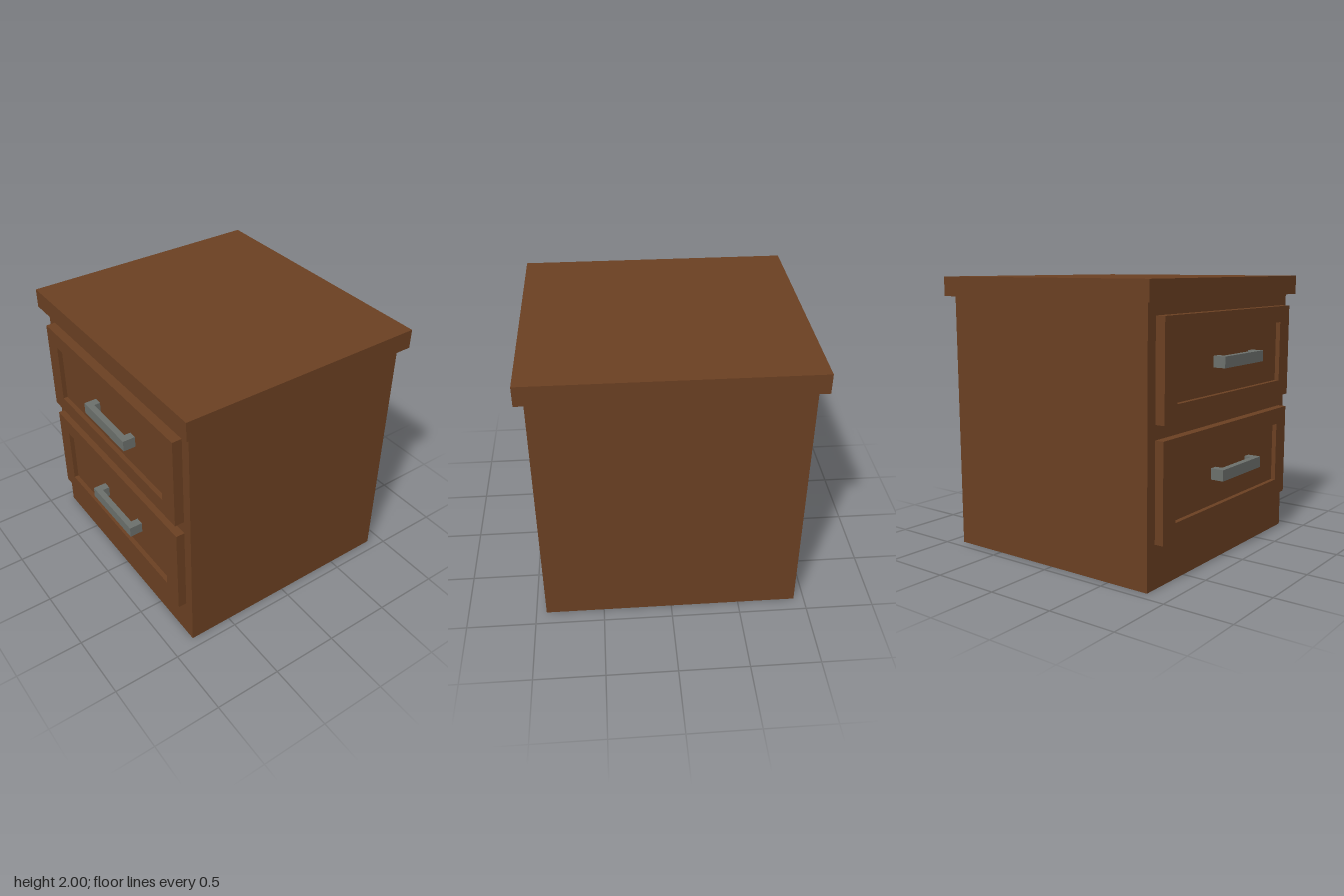
import * as THREE from 'three';

const wood = new THREE.MeshStandardMaterial({ color: 0x6b4022 });
wood.name = 'brown wood';
const metal = new THREE.MeshStandardMaterial({ color: 0x6c706c });
metal.name = 'grey metal';

// Box given by its lower and upper limits on each axis
function box(name, material, [x0, x1], [y0, y1], [z0, z1]) {
  const mesh = new THREE.Mesh(new THREE.BoxGeometry(x1 - x0, y1 - y0, z1 - z0), material);
  mesh.position.set((x0 + x1) / 2, (y0 + y1) / 2, (z0 + z1) / 2);
  mesh.name = name;
  return mesh;
}

// Traces a rectangle on a shape or a hole path
function rectangle(path, x0, y0, x1, y1) {
  path.moveTo(x0, y0);
  path.lineTo(x1, y0);
  path.lineTo(x1, y1);
  path.lineTo(x0, y1);
  path.closePath();
  return path;
}

const BODY_X = -0.82;   // cabinet face that carries the drawers
const HANDLE_X = -0.947; // outermost face of the handles

function createDrawer(name, faceX, y0, y1) {
  const drawer = new THREE.Group();
  drawer.name = name;
  const z0 = -0.84, z1 = 0.85, marginZ = 0.145, marginY = 0.12;
  const panelX = faceX + 0.034;

  // Raised frame with a rectangular opening, extruded towards -x
  const outline = rectangle(new THREE.Shape(), z0, y0, z1, y1);
  outline.holes.push(rectangle(new THREE.Path(), z0 + marginZ, y0 + marginY, z1 - marginZ, y1 - marginY));
  const geometry = new THREE.ExtrudeGeometry(outline, { depth: BODY_X - faceX, bevelEnabled: false });
  geometry.rotateY(-Math.PI / 2);
  const frame = new THREE.Mesh(geometry, wood);
  frame.position.x = BODY_X;
  frame.name = 'drawerFrame';
  drawer.add(frame);

  // Recessed panel inside the frame
  drawer.add(box('drawerPanel', wood, [panelX, BODY_X],
    [y0 + marginY, y1 - marginY], [z0 + marginZ, z1 - marginZ]));

  // Handle: a bar on two posts
  const handle = new THREE.Group();
  handle.name = 'handle';
  const yMid = (y0 + y1) / 2 + 0.002;
  const hy = [yMid - 0.04, yMid + 0.04];
  const barBack = HANDLE_X + 0.045;
  handle.add(box('handleBar', metal, [HANDLE_X, barBack], hy, [-0.205, 0.33]));
  for (const z of [-0.205, 0.27]) {
    handle.add(box('handlePost', metal, [barBack, panelX], hy, [z, z + 0.06]));
  }
  drawer.add(handle);
  return drawer;
}

export function createModel() {
  const cabinet = new THREE.Group();
  cabinet.name = 'bedsideCabinet';
  cabinet.add(
    box('body', wood, [BODY_X, 0.895], [0, 1.86], [-0.925, 0.925]),
    box('top', wood, [-0.873, 0.943], [1.86, 2], [-0.985, 0.985]),
    createDrawer('upperDrawer', -0.89, 1.09, 1.775),
    createDrawer('lowerDrawer', -0.883, 0.305, 0.99),
  );
  return cabinet;
}
